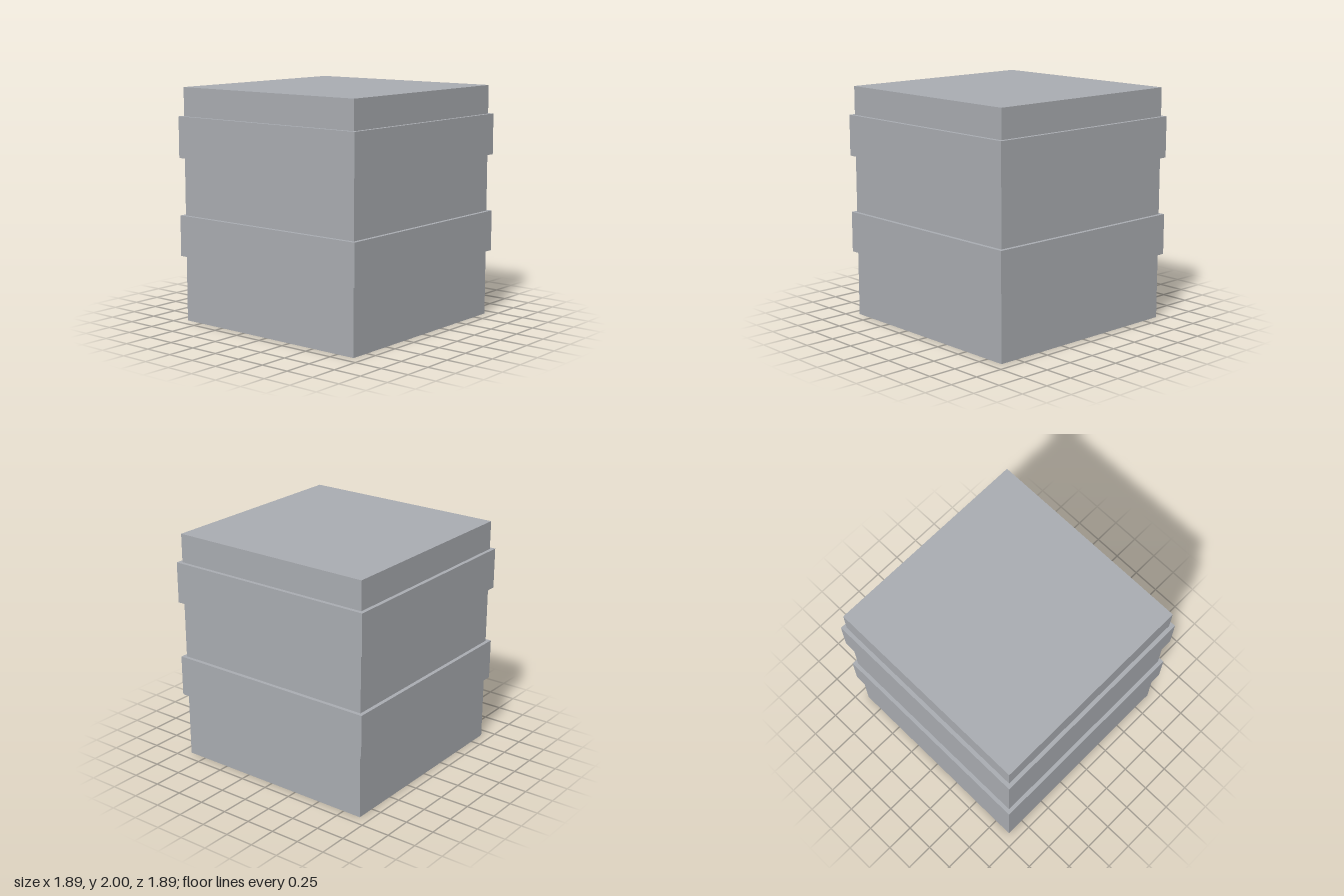
import * as THREE from 'three';

export function createModel() {
  const model = new THREE.Group();
  const grey = new THREE.MeshStandardMaterial({ color: 0xa9acb1 });
  grey.name = 'grey';

  // Square block spanning bottom to top
  function block(name, width, bottom, top) {
    const mesh = new THREE.Mesh(new THREE.BoxGeometry(width, top - bottom, width), grey);
    mesh.name = name;
    mesh.position.y = (bottom + top) / 2;
    model.add(mesh);
  }

  // Main body with two bands standing slightly proud of it
  block('body', 1.826, 0, 2);
  block('lowerBand', 1.892, 0.565, 0.915);
  block('upperBand', 1.892, 1.405, 1.756);

  return model;
}
